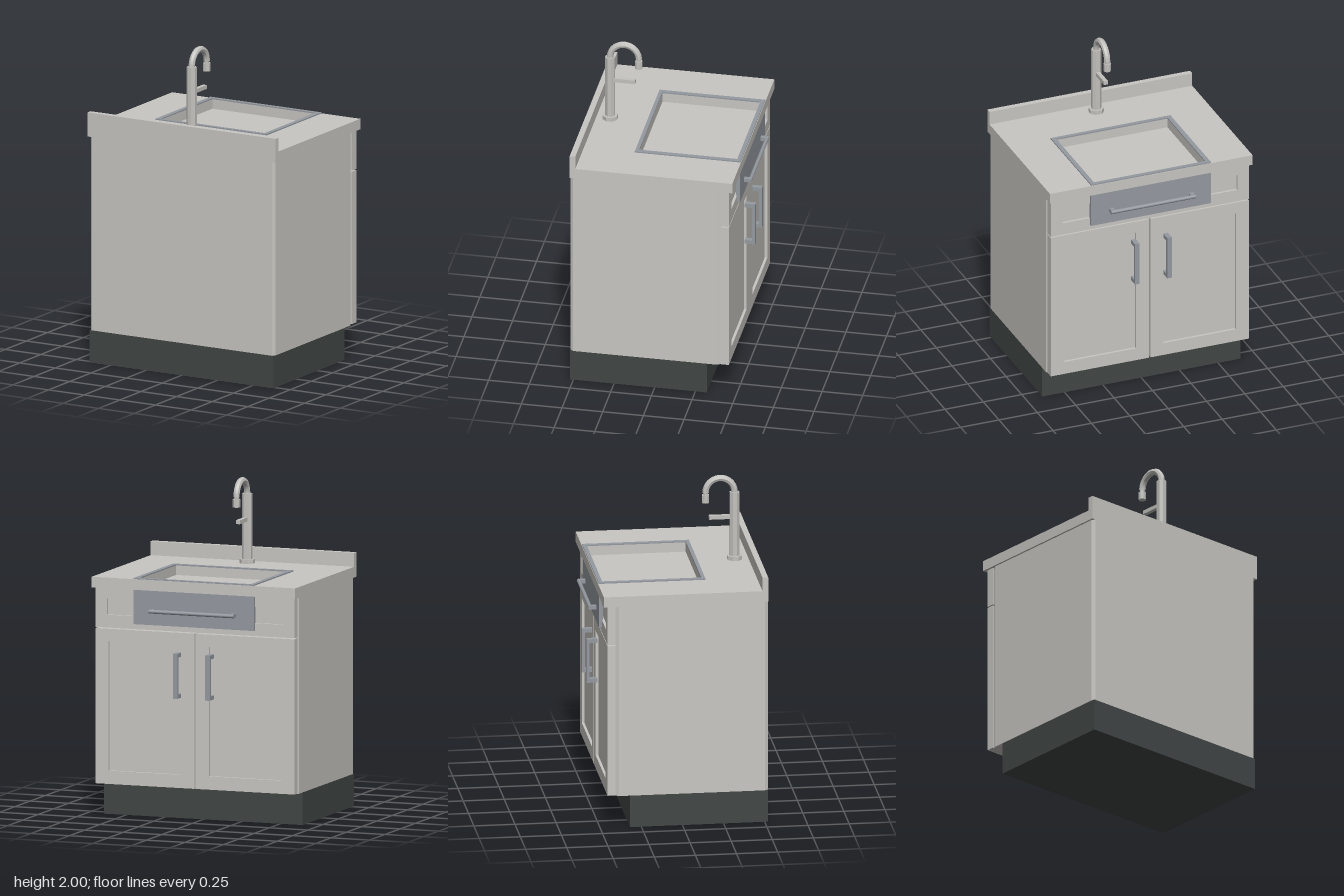
import * as THREE from 'three';

const material = (name, color, flatShading = false) => {
  const m = new THREE.MeshStandardMaterial({ color, flatShading });
  m.name = name;
  return m;
};

export function createModel() {
  const cream = material('warm grey paint', 0xc9c7c2);
  const steel = material('steel', 0x959aa1);
  const dark = material('dark plinth', 0x414746);
  const root = new THREE.Group();
  root.name = 'sinkCabinet';

  const add = (name, geometry, mat, parent = root) => {
    const mesh = new THREE.Mesh(geometry, mat);
    mesh.name = name;
    parent.add(mesh);
    return mesh;
  };
  // Box given by its limits on each axis
  const box = (name, [x0, x1], [y0, y1], [z0, z1], mat, parent) => {
    const g = new THREE.BoxGeometry(x1 - x0, y1 - y0, z1 - z0);
    g.translate((x0 + x1) / 2, (y0 + y1) / 2, (z0 + z1) / 2);
    return add(name, g, mat, parent);
  };
  const polygon = (points) => points.map(([a, b]) => new THREE.Vector2(a, b));
  const rect = ([a0, a1], [b0, b1]) => polygon([[a0, b0], [a1, b0], [a1, b1], [a0, b1]]);
  const slab = (outer, hole, depth) => {
    const shape = new THREE.Shape(outer);
    if (hole) shape.holes.push(new THREE.Path(hole));
    return new THREE.ExtrudeGeometry(shape, { depth, bevelEnabled: false });
  };
  // Horizontal slab: outline in x and z, hanging down from a top height
  const flatSlab = (outer, hole, top, depth) =>
    slab(outer, hole, depth).rotateX(Math.PI / 2).translate(0, top, 0);

  // Plinth and carcass with chamfered upright corners
  box('plinth', [-0.645, 0.645], [0, 0.2], [-0.32, 0.52], dark);
  const w = 0.648, c = 0.014;
  add('carcass', flatSlab(polygon([
    [-w + c, 0.52], [-w, 0.5], [-w, -0.385], [-w + c, -0.405],
    [w - c, -0.405], [w, -0.385], [w, 0.5], [w - c, 0.52],
  ]), null, 1.4, 1.2), cream);

  // Worktop with sink opening, upstand and rim
  const openX = [-0.362, 0.362], openZ = [-0.452, 0.15];
  add('worktop', flatSlab(rect([-0.66, 0.66], [-0.48, 0.52]), rect(openX, openZ), 1.465, 0.065), cream);
  box('upstand', [-0.66, 0.66], [1.465, 1.55], [0.485, 0.52], cream);
  add('sinkRim', flatSlab(rect([-0.39, 0.39], [-0.477, 0.173]), rect(openX, openZ), 1.472, 0.008), steel);
  box('sinkFloor', [-0.37, 0.37], [1.398, 1.406], [-0.453, 0.16], cream);

  // Framed fronts with a recessed centre panel
  const front = (name, x, y, holeX, holeY) => {
    const group = new THREE.Group();
    group.name = name;
    root.add(group);
    add(name + 'Frame', slab(rect(x, y), rect(holeX, holeY), 0.05).translate(0, 0, -0.456), cream, group);
    box(name + 'Panel', holeX, holeY, [-0.44, -0.406], cream, group);
  };
  front('drawerFront', [-0.645, 0.645], [1.157, 1.4], [-0.57, 0.57], [1.235, 1.335]);
  front('leftDoor', [0.004, 0.645], [0.204, 1.15], [0.09, 0.56], [0.285, 1.075]);
  front('rightDoor', [-0.645, -0.004], [0.204, 1.15], [-0.56, -0.09], [0.285, 1.075]);

  // Steel apron with its rail
  box('apron', [-0.39, 0.39], [1.19, 1.4], [-0.475, -0.45], steel);
  const rail = add('apronRail', new THREE.CylinderGeometry(0.012, 0.012, 0.55, 10), steel);
  rail.rotation.z = Math.PI / 2;
  rail.position.set(0, 1.278, -0.512);
  for (const s of [-1, 1]) {
    box('apronRailPost', [s * 0.26 - 0.014, s * 0.26 + 0.014], [1.267, 1.289], [-0.512, -0.47], steel);
    // Door pulls
    const x = [s * 0.105 - 0.015, s * 0.105 + 0.015];
    box('doorHandleBar', x, [0.755, 1.03], [-0.515, -0.496], steel);
    for (const y of [0.755, 1.005]) box('doorHandlePost', x, [y, y + 0.025], [-0.498, -0.45], steel);
  }

  // Faucet
  const faucet = new THREE.Group();
  faucet.name = 'faucet';
  root.add(faucet);
  const paintFaceted = material('faucet grey', 0xc3c2be, true);
  const turned = (name, r, y0, y1, z) =>
    add(name, new THREE.CylinderGeometry(r, r, y1 - y0, 8)
      .rotateY(Math.PI / 8).translate(0, (y0 + y1) / 2, z), paintFaceted, faucet);
  turned('faucetBase', 0.048, 1.465, 1.49, 0.4);
  turned('faucetColumn', 0.031, 1.48, 1.89, 0.4);
  const arc = [new THREE.Vector3(0, 1.87, 0.4)];
  for (let i = 0; i <= 12; i++) {
    const a = (i / 12) * Math.PI;
    arc.push(new THREE.Vector3(0, 1.89 + 0.09 * Math.sin(a), 0.312 + 0.088 * Math.cos(a)));
  }
  add('spout', new THREE.TubeGeometry(new THREE.CatmullRomCurve3(arc), 24, 0.02, 8), paintFaceted, faucet);
  turned('spoutNeck', 0.015, 1.87, 1.9, 0.224);
  turned('nozzle', 0.023, 1.828, 1.878, 0.224);
  box('lever', [-0.013, 0.013], [1.722, 1.746], [0.245, 0.38], paintFaceted, faucet);

  return root;
}
